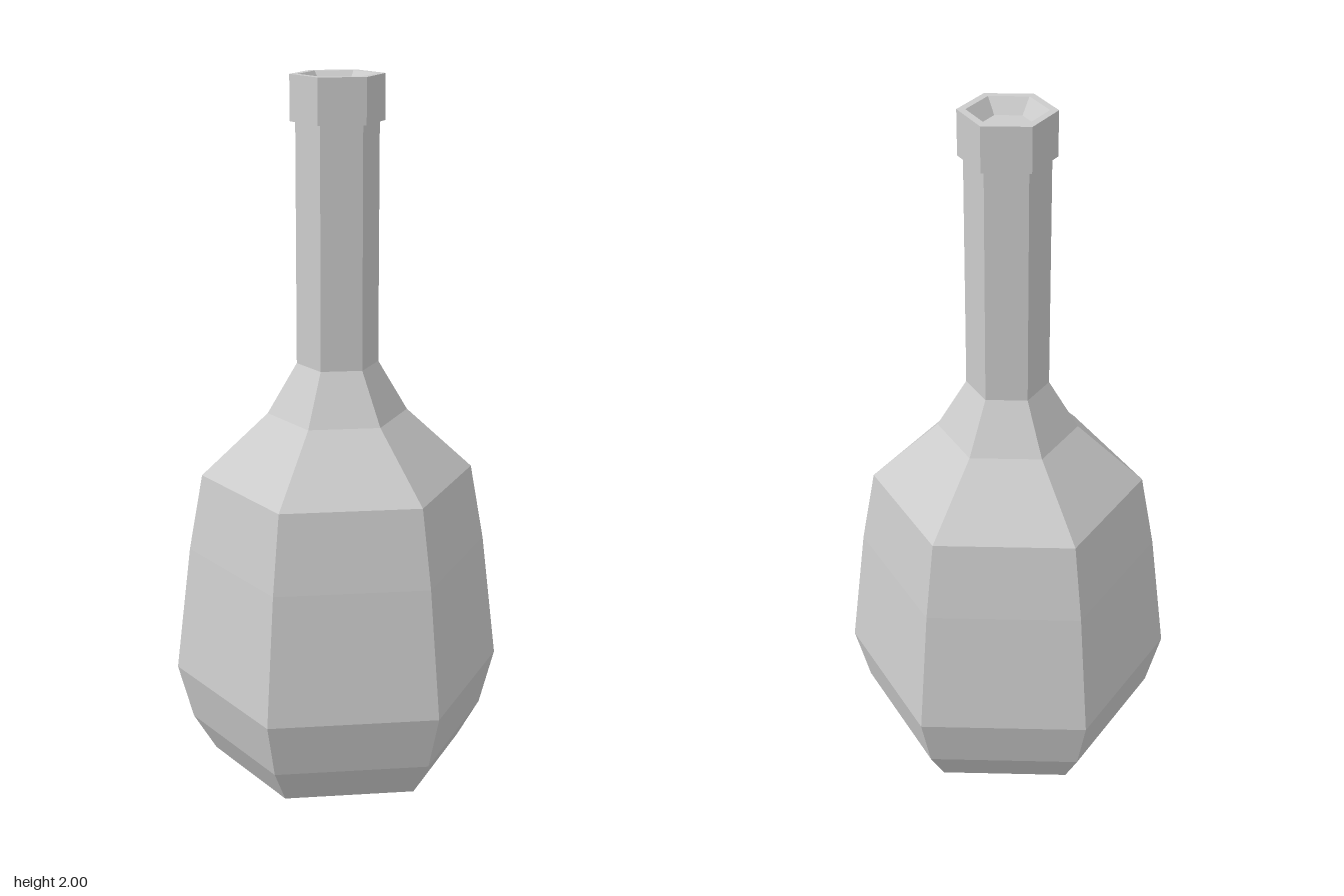
import * as THREE from 'three';

const SIDES = 6;
const TURN = THREE.MathUtils.degToRad(32.5); // slight twist of the hexagon

export function createModel() {
  const bottle = new THREE.Group();
  bottle.name = 'bottle';
  const material = new THREE.MeshStandardMaterial({ color: 0xcccccc, flatShading: true });

  // Six-sided lathe from [radius, height] pairs, listed upward on the outside
  const addPart = (name, profile) => {
    const points = profile.map(([r, y]) => new THREE.Vector2(r, y));
    const mesh = new THREE.Mesh(new THREE.LatheGeometry(points, SIDES, TURN), material);
    mesh.name = name;
    bottle.add(mesh);
  };

  // Flat base, rounded belly and shoulder
  addPart('body', [
    [0, 0], [0.37, 0], [0.435, 0.11], [0.478, 0.275],
    [0.432, 0.65], [0.391, 0.875], [0.2, 1.055], [0.116, 1.2],
  ]);

  // Straight neck
  addPart('neck', [[0.116, 1.2], [0.115, 1.875]]);

  // Collar with a shallow tapered mouth
  addPart('rim', [
    [0.115, 1.875], [0.13, 1.875], [0.13, 2],
    [0.107, 2], [0.073, 1.96], [0, 1.96],
  ]);

  return bottle;
}
